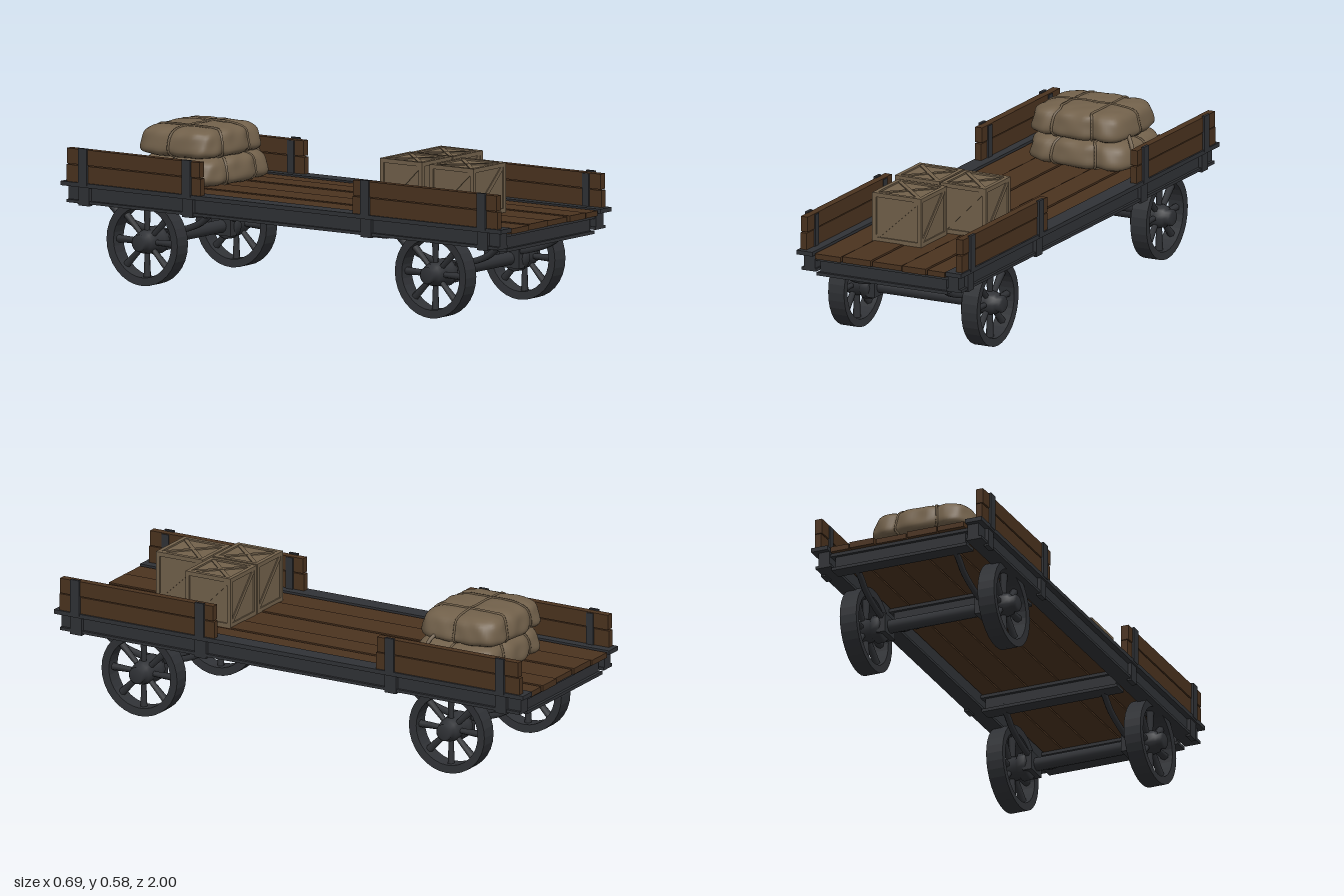
import * as THREE from 'three';
import { mergeVertices } from 'three/addons/utils/BufferGeometryUtils.js';

const mat = (name, color) => new THREE.MeshStandardMaterial({ name, color });

export function createModel() {
  const root = new THREE.Group();
  root.name = 'flatWagon';
  const wood = mat('brown wood', 0x4b331f);
  const iron = mat('dark iron', 0x303236);
  const canvas = mat('tan cargo', 0x72614b);

  const add = (parent, name, geo, material) => {
    const m = new THREE.Mesh(geo, material);
    m.name = name;
    parent.add(m);
    return m;
  };
  // Box given by its lower and upper limits on each axis
  const box = (parent, name, material, x0, x1, y0, y1, z0, z1) => {
    const m = add(parent, name, new THREE.BoxGeometry(Math.abs(x1 - x0), y1 - y0, z1 - z0), material);
    m.position.set((x0 + x1) / 2, (y0 + y1) / 2, (z0 + z1) / 2);
    return m;
  };
  const group = (name) => {
    const g = new THREE.Group();
    g.name = name;
    root.add(g);
    return g;
  };

  // Deck planks with open gaps
  const deck = group('deck');
  const seams = [-0.272, -0.16, -0.036, 0.09, 0.194, 0.272];
  for (let i = 0; i < 5; i++) {
    const lift = (i % 2) * 0.003, end = 0.995 - (i % 3) * 0.004;
    box(deck, 'plank', wood, seams[i] + 0.003, seams[i + 1] - 0.003, 0.343, 0.363 + lift, -end, end);
  }

  // Frame: flanged side rails and cross beams
  const frame = group('frame');
  for (const s of [1, -1]) {
    box(frame, 'railTop', iron, s * 0.277, s * 0.343, 0.352, 0.368, -1, 1);
    box(frame, 'railWeb', iron, s * 0.277, s * 0.322, 0.298, 0.354, -0.98, 0.98);
    box(frame, 'railFoot', iron, s * 0.272, s * 0.333, 0.29, 0.301, -0.98, 0.98);
  }
  for (const z of [0.945, 0.4, -0.42, -0.945]) {
    box(frame, 'crossBeam', iron, -0.262, 0.262, 0.285, 0.343, z - 0.018, z + 0.018);
    box(frame, 'crossBeamFoot', iron, -0.272, 0.272, 0.275, 0.287, z - 0.03, z + 0.03);
    box(frame, 'crossBeamHead', iron, -0.276, 0.276, 0.331, 0.343, z - 0.03, z + 0.03);
  }

  // Side boards with iron posts and clips
  const sides = group('sideBoards');
  for (const s of [1, -1]) {
    for (const [z0, z1, posts] of [[0.32, 0.98, [0.38, 0.91]], [-0.98, -0.37, [-0.9, -0.43]]]) {
      box(sides, 'lowerBoard', wood, s * 0.311, s * 0.336, 0.368, 0.431, z0, z1);
      box(sides, 'upperBoard', wood, s * 0.309, s * 0.338, 0.435, 0.492, z0 + 0.004, z1 - 0.004);
      for (const z of posts) {
        box(sides, 'post', iron, s * 0.334, s * 0.345, 0.36, 0.497, z - 0.019, z + 0.019);
        box(sides, 'innerStrap', iron, s * 0.305, s * 0.312, 0.36, 0.489, z - 0.015, z + 0.015);
        box(sides, 'clip', iron, s * 0.318, s * 0.336, 0.283, 0.356, z - 0.024, z + 0.024);
      }
    }
  }

  // Wheel profiles, turned around the axle
  const lathe = (pts, n) => new THREE.LatheGeometry(pts.map(p => new THREE.Vector2(p[0], p[1])), n).rotateZ(-Math.PI / 2);
  const rimGeo = lathe([[0.131, -0.031], [0.161, -0.033], [0.161, 0.033], [0.131, 0.031], [0.131, -0.031]], 32).toNonIndexed();
  rimGeo.computeVertexNormals();
  const hubGeo = lathe([[0, -0.078], [0.045, -0.078], [0.052, -0.068], [0.053, -0.04], [0.042, -0.03],
    [0.046, 0.0], [0.04, 0.03], [0.03, 0.036], [0.032, 0.054], [0.025, 0.061], [0, 0.061]], 16);
  const spokeGeo = new THREE.CylinderGeometry(0.015, 0.01, 0.11, 6).translate(0, 0.082, 0);

  // Axles, wheels and curved braces
  for (const zc of [0.655, -0.655]) {
    const set = group(zc > 0 ? 'frontAxleSet' : 'rearAxleSet');
    set.position.set(0, 0.166, zc);
    add(set, 'axle', new THREE.CylinderGeometry(0.025, 0.025, 0.46, 12).rotateZ(Math.PI / 2), iron);
    for (const s of [1, -1]) {
      const wheel = new THREE.Group();
      wheel.name = s > 0 ? 'leftWheel' : 'rightWheel';
      wheel.position.x = s * 0.277;
      if (s < 0) wheel.rotation.y = Math.PI;
      set.add(wheel);
      add(wheel, 'rim', rimGeo, iron);
      add(wheel, 'hub', hubGeo, iron);
      for (let i = 0; i < 8; i++) add(wheel, 'spoke', spokeGeo, iron).rotation.x = i * Math.PI / 4;
      box(set, 'bearing', iron, s * 0.18, s * 0.215, -0.035, 0.04, -0.045, 0.045);
      for (const d of [1, -1]) {
        const curve = new THREE.CatmullRomCurve3([[0.01, 0.025], [0.09, 0.04], [0.18, 0.073], [0.235, 0.115], [0.28, 0.125]]
          .map(([z, y]) => new THREE.Vector3(s * 0.197, y, d * z)));
        add(set, 'brace', new THREE.TubeGeometry(curve, 14, 0.013, 6), iron);
      }
    }
  }

  // Crates: recessed core, edge battens and diagonal braces
  function crate(x, z, w, h, d) {
    const g = group('crate');
    g.position.set(x, 0.364 + h / 2, z);
    const size = [w, h, d], t = 0.016;
    add(g, 'core', new THREE.BoxGeometry(w - 0.012, h - 0.012, d - 0.012), canvas);
    for (let axis = 0; axis < 3; axis++) {
      const a = (axis + 1) % 3, b = (axis + 2) % 3;
      for (const sa of [1, -1]) for (const sb of [1, -1]) {
        const dim = [t, t, t], pos = [0, 0, 0];
        dim[axis] = size[axis];
        pos[a] = sa * (size[a] - t) / 2;
        pos[b] = sb * (size[b] - t) / 2;
        add(g, 'edgeBatten', new THREE.BoxGeometry(...dim), canvas).position.set(...pos);
      }
    }
    const brace = (len, angle) => new THREE.BoxGeometry(len, 0.016, 0.008).rotateZ(angle);
    for (let k = 0; k < 4; k++) {
      const across = k % 2 ? d : w, out = (k % 2 ? w : d) / 2 - 0.006;
      const geo = brace(Math.hypot(across, h) - 0.035, Math.atan2(h, across));
      add(g, 'sideBrace', geo.translate(0, 0, out).rotateY(k * Math.PI / 2), canvas);
    }
    for (const s of [1, -1]) {
      const geo = brace(Math.hypot(w, d) - 0.035, s * Math.atan2(d, w));
      add(g, 'lidBrace', geo.translate(0, 0, h / 2 - 0.006 - s * 0.0005).rotateX(-Math.PI / 2), canvas);
    }
  }
  crate(-0.094, 0.432, 0.186, 0.192, 0.192);
  crate(0.098, 0.432, 0.188, 0.19, 0.192);
  crate(-0.063, 0.645, 0.204, 0.185, 0.2);

  // Tied sacks: a cube swollen to a pillow and pinched under the ropes
  function sack(name, cx, cy, cz, hx, hy, hz, n) {
    const g = group(name);
    g.position.set(cx, cy, cz);
    const swell = (v, grow) => {
      const k = Math.pow(Math.abs(v.x) ** n + Math.abs(v.y) ** n + Math.abs(v.z) ** n, -1 / n);
      const x = v.x * k, y = v.y * k, z = v.z * k;
      const dip = c => Math.exp(-((c / 0.11) ** 2));
      const pinch = 1 - 0.07 * Math.max(dip(x - 0.42), dip(x + 0.42), dip(z));
      const fold = 1 + 0.018 * Math.sin(x * 11 + z * 4) * Math.cos(z * 9 - y * 3);
      const taper = 1 - 0.07 * y;
      return new THREE.Vector3(x * hx * taper * fold + grow * x, y * hy * pinch * fold + grow * y, z * hz * taper * pinch * fold + grow * z);
    };
    let geo = new THREE.BoxGeometry(2, 2, 2, 28, 12, 24);
    geo.deleteAttribute('uv');
    geo.deleteAttribute('normal');
    geo = mergeVertices(geo);
    const p = geo.attributes.position, v = new THREE.Vector3();
    for (let i = 0; i < p.count; i++) {
      const q = swell(v.fromBufferAttribute(p, i), 0);
      p.setXYZ(i, q.x, q.y, q.z);
    }
    geo.computeVertexNormals();
    add(g, 'cloth', geo, canvas);
    // Ropes follow the same swollen surface
    for (const [alongX, at] of [[false, -0.42], [false, 0.42], [true, 0]]) {
      const pts = [];
      for (let i = 0; i < 32; i++) {
        const a = i / 32 * Math.PI * 2, c = Math.cos(a), s = Math.sin(a), m = Math.max(Math.abs(c), Math.abs(s));
        pts.push(swell(alongX ? new THREE.Vector3(c / m, s / m, at) : new THREE.Vector3(at, s / m, c / m), 0.001));
      }
      add(g, 'rope', new THREE.TubeGeometry(new THREE.CatmullRomCurve3(pts, true), 64, 0.005, 5, true), canvas);
    }
  }
  sack('lowerSack', 0.03, 0.418, -0.62, 0.215, 0.06, 0.18, 4);
  sack('upperSack', 0.015, 0.52, -0.627, 0.195, 0.058, 0.17, 4.5);

  // Loose cloth tail hanging from the sacks
  const tail = new THREE.CatmullRomCurve3([[0.19, 0.51, -0.56], [0.225, 0.47, -0.53], [0.245, 0.42, -0.52], [0.25, 0.366, -0.52]]
    .map(q => new THREE.Vector3(...q)));
  add(root, 'looseTie', new THREE.TubeGeometry(tail, 12, 0.008, 6), canvas);
  return root;
}
